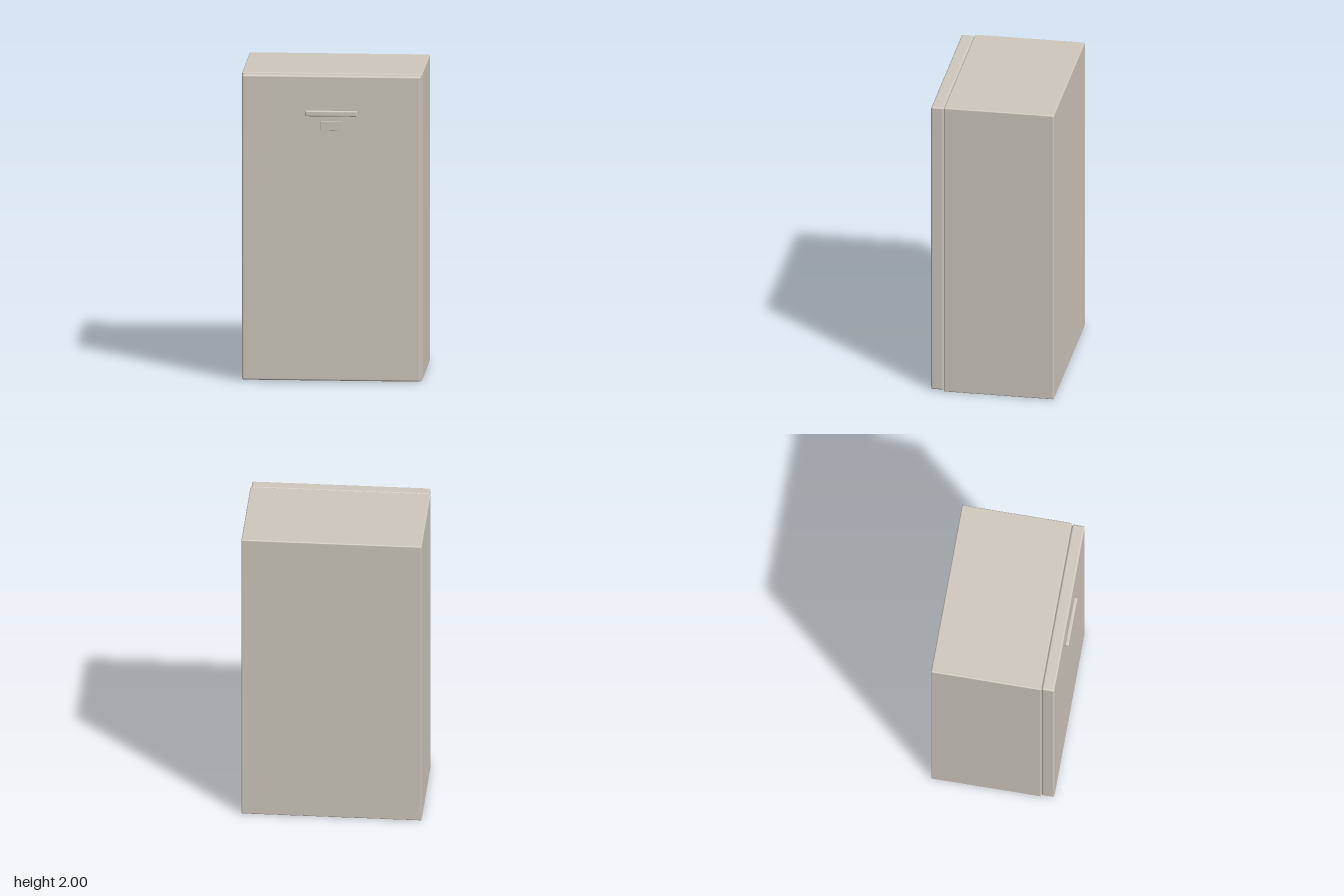
import * as THREE from 'three';
import { RoundedBoxGeometry } from 'three/addons/geometries/RoundedBoxGeometry.js';

export function createModel() {
  const model = new THREE.Group();
  model.name = 'cabinet';
  const enamel = new THREE.MeshStandardMaterial({ color: 0xcfc8be });
  enamel.name = 'warm grey enamel';

  // Rounded block given by its lower and upper corners
  function block(name, min, max, radius) {
    const size = max.map((v, i) => v - min[i]);
    const mesh = new THREE.Mesh(new RoundedBoxGeometry(...size, 3, radius), enamel);
    mesh.position.set(...max.map((v, i) => (v + min[i]) / 2));
    mesh.name = name;
    model.add(mesh);
  }

  // Main housing behind the door
  block('body', [-0.58, 0, -0.413], [0.58, 2, 0.303], 0.008);
  // Full-height door, slightly inset from the housing edges
  block('door', [-0.574, 0.008, 0.306], [0.574, 1.997, 0.388], 0.012);
  // Slim handle bar
  block('handle', [-0.167, 1.735, 0.386], [0.167, 1.771, 0.411], 0.008);
  // Thin plate under the handle
  block('badgePlate', [-0.071, 1.64, 0.386], [0.071, 1.699, 0.393], 0.001);

  return model;
}
